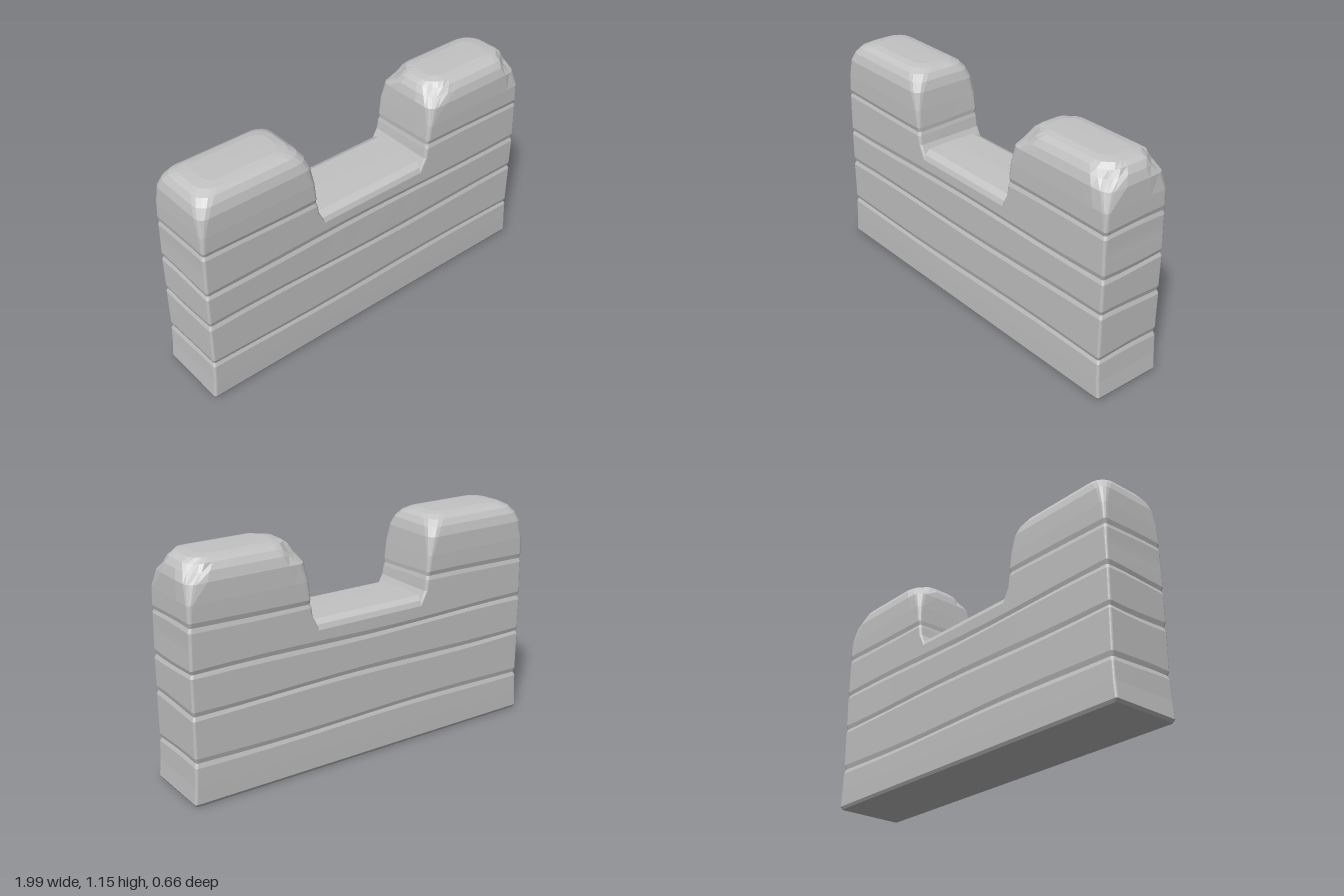
import * as THREE from 'three';

const HALF_DEPTH = 0.184;

// Rounded-rectangle ring from x0 to x1, half depth d, corner radius r
function ring(x0, x1, d, r) {
  const corners = [[x1 - r, d - r], [x0 + r, d - r], [x0 + r, r - d], [x1 - r, r - d]];
  const arc = (c, t) => {
    const a = (c + t) * Math.PI / 2;
    return [corners[c][0] + r * Math.cos(a), corners[c][1] + r * Math.sin(a)];
  };
  const points = [];
  for (let c = 0; c < 4; c++) {
    for (let i = 0; i <= 4; i++) points.push(arc(c, i / 4));
    const a = arc(c, 1), b = arc((c + 1) % 4, 0), n = c % 2 ? 4 : 10;
    for (let i = 1; i < n; i++) points.push([a[0] + (b[0] - a[0]) * i / n, a[1] + (b[1] - a[1]) * i / n]);
  }
  return points;
}

// Loft through levels {y, x0, x1, d, r, wave}; shape(v) may adjust each vertex
function loft(levels, topY, closeBottom, shape = () => {}) {
  const pos = [], index = [], v = new THREE.Vector3();
  let n = 0;
  const add = (x, y, z) => { v.set(x, y, z); shape(v); pos.push(v.x, v.y, v.z); };
  for (const l of levels) {
    const pts = ring(l.x0, l.x1, l.d, l.r);
    n = pts.length;
    for (const [x, z] of pts) add(x, l.y + (l.wave || 0) * Math.sin(x * 4 + z * 9 + l.y * 20), z);
  }
  for (let j = 0; j < levels.length - 1; j++) {
    for (let i = 0; i < n; i++) {
      const k = (i + 1) % n, a = j * n + i, b = j * n + k;
      index.push(a, a + n, b, b, a + n, b + n);
    }
  }
  const cap = (l, y, up) => {
    const c = pos.length / 3, s = l * n;
    add((levels[l].x0 + levels[l].x1) / 2, y, 0);
    for (let i = 0; i < n; i++) {
      const k = (i + 1) % n;
      if (up) index.push(c, s + k, s + i);
      else index.push(c, s + i, s + k);
    }
  };
  cap(levels.length - 1, topY, true);
  if (closeBottom) cap(0, levels[0].y, false);
  const g = new THREE.BufferGeometry();
  g.setAttribute('position', new THREE.Float32BufferAttribute(pos, 3));
  g.setIndex(index);
  g.computeVertexNormals();
  return g;
}

export function createModel() {
  const stone = new THREE.MeshStandardMaterial({ color: 0xc3c3c3, flatShading: true });
  stone.name = 'pale grey stone';
  const wall = new THREE.Group();
  wall.name = 'battlementWall';
  const add = (name, geometry) => {
    const m = new THREE.Mesh(geometry, stone);
    m.name = name;
    wall.add(m);
  };

  // Lower wall with shallow wavy grooves between the courses
  const body = [];
  const bodyLevel = (y, half, d, r = 0.012, wave = 0) => body.push({ y, x0: -half, x1: half, d, r, wave });
  bodyLevel(0, 0.972, 0.178);
  bodyLevel(0.015, 0.981, 0.186);
  bodyLevel(0.1, 0.974, 0.186);
  for (const y of [0.215, 0.45, 0.64]) {
    bodyLevel(y - 0.02, 0.97, HALF_DEPTH + 0.001, 0.012, 0.006);
    bodyLevel(y, 0.963, HALF_DEPTH - 0.006, 0.012, 0.006);
    bodyLevel(y + 0.022, 0.969, HALF_DEPTH, 0.012, 0.006);
  }
  bodyLevel(0.715, 0.968, HALF_DEPTH);
  bodyLevel(0.74, 0.95, 0.174, 0.02);
  bodyLevel(0.758, 0.93, 0.14, 0.03);
  add('lowerWall', loft(body, 0.762, true));

  // Raised end blocks: y, outer x, inner x, half depth, corner radius, wave
  const profile = [
    [0.715, 0.968, 0.295, HALF_DEPTH, 0.012, 0],
    [0.755, 0.967, 0.315, HALF_DEPTH, 0.012, 0],
    [0.785, 0.967, 0.33, HALF_DEPTH, 0.014, 0],
    [0.835, 0.968, 0.337, HALF_DEPTH, 0.015, 0.005],
    [0.855, 0.962, 0.342, HALF_DEPTH - 0.006, 0.015, 0.005],
    [0.877, 0.967, 0.341, HALF_DEPTH, 0.016, 0.005],
    [0.96, 0.966, 0.348, HALF_DEPTH, 0.022, 0],
    [1.05, 0.963, 0.357, 0.181, 0.045, 0],
    [1.095, 0.95, 0.37, 0.168, 0.06, 0],
    [1.125, 0.93, 0.39, 0.148, 0.07, 0],
    [1.142, 0.9, 0.415, 0.12, 0.075, 0],
    [1.149, 0.85, 0.455, 0.085, 0.06, 0],
  ];
  // Worn chips at the upper corners of one block: x, y, z, radius, depth
  const chips = [
    [0.93, 1.1, 0.15, 0.09, 0.03], [0.93, 1.1, -0.15, 0.08, 0.025],
    [0.4, 1.11, -0.14, 0.08, 0.025], [0.41, 1.11, 0.14, 0.08, 0.025],
  ];
  const chip = (v) => {
    for (const [x, y, z, r, depth] of chips) {
      const f = 1 - Math.hypot(v.x - x, v.y - y, v.z - z) / r;
      if (f <= 0) continue;
      v.x += Math.sign(0.66 - x) * depth * f;
      v.z -= Math.sign(z) * depth * f;
      v.y -= depth * 0.5 * f;
    }
  };
  for (const side of [-1, 1]) {
    const levels = profile.map(([y, outer, inner, d, r, wave]) => ({
      y, d, r, wave,
      x0: side > 0 ? inner : -outer,
      x1: side > 0 ? outer : -inner,
    }));
    add(side > 0 ? 'leftMerlon' : 'rightMerlon', loft(levels, 1.15, false, side > 0 ? chip : undefined));
  }

  // The wall stands slightly turned
  wall.rotation.y = -0.149;
  const model = new THREE.Group();
  model.name = 'model';
  model.add(wall);
  return model;
}
